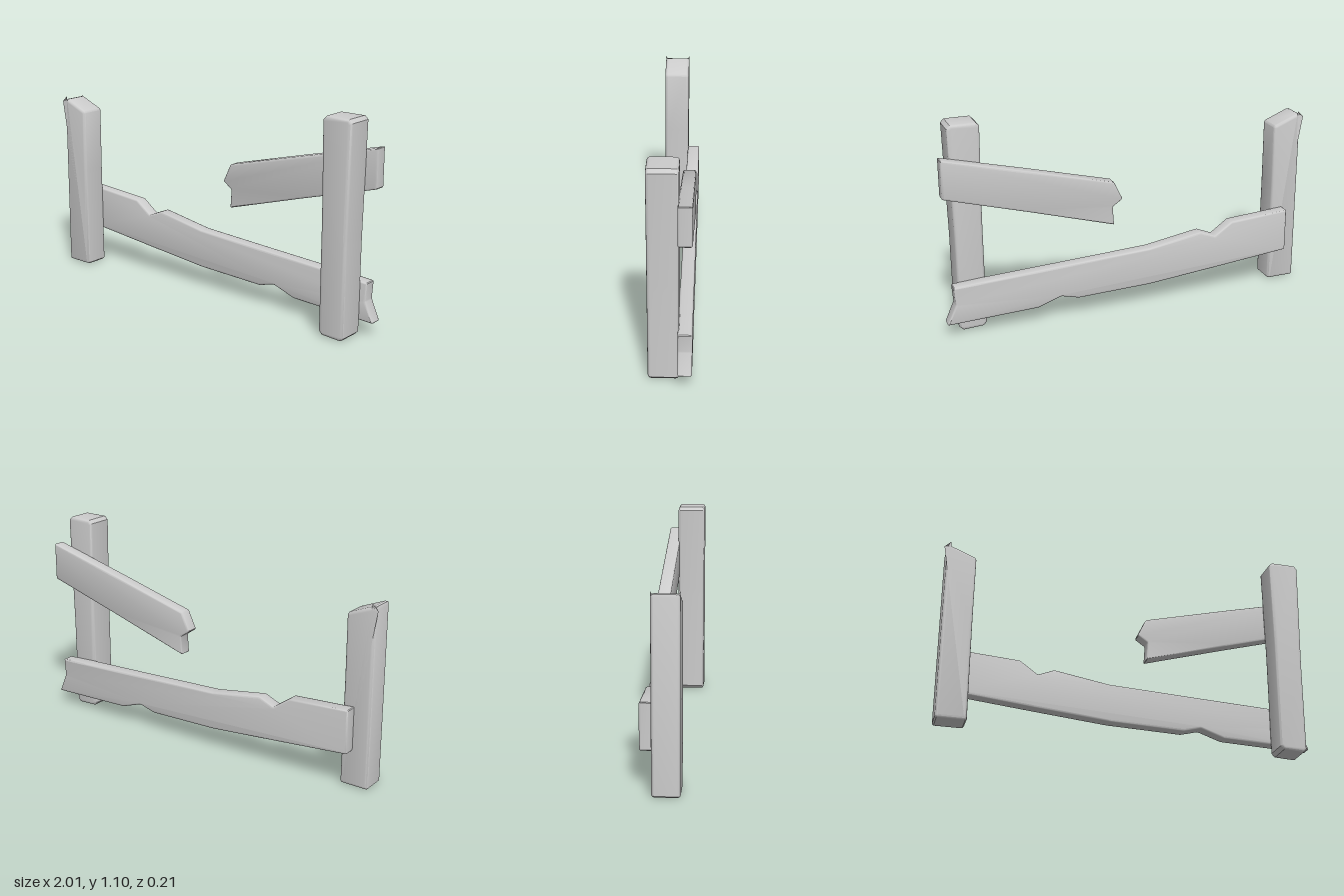
import * as THREE from 'three';
import { toCreasedNormals } from 'three/addons/utils/BufferGeometryUtils.js';

const material = new THREE.MeshStandardMaterial({ color: 0xcccccc });

// Cuts each corner of an outline by distance c
function chamfer(points, c) {
  const p = points.map(([x, y]) => new THREE.Vector2(x, y));
  return p.flatMap((v, i) => {
    const toward = (w) => v.clone().add(w.clone().sub(v).setLength(c));
    return [toward(p[(i + p.length - 1) % p.length]), toward(p[(i + 1) % p.length])];
  });
}

// Solid timber: front outline (counter-clockwise) extruded from zBack to zFront with soft edges
function timber(name, points, zBack, zFront, bevel, corner) {
  const shape = new THREE.Shape(chamfer(points, corner));
  const geometry = new THREE.ExtrudeGeometry(shape, {
    depth: zFront - zBack - 2 * bevel,
    bevelThickness: bevel, bevelSize: bevel, bevelOffset: -bevel, bevelSegments: 3,
  });
  geometry.translate(0, 0, zBack + bevel);
  const mesh = new THREE.Mesh(toCreasedNormals(geometry, 0.6), material);
  mesh.name = name;
  return mesh;
}

export function createModel() {
  const group = new THREE.Group();
  group.name = 'brokenFence';

  // Upright posts, the shorter one with a slanted top
  group.add(timber('shortPost', [
    [-1, 0.003], [-0.844, 0.003], [-0.847, 0.55], [-0.846, 0.898], [-0.99, 0.956], [-1, 0.945],
  ], -0.042, 0.095, 0.016, 0.008));
  group.add(timber('tallPost', [
    [0.78, 0.008], [0.924, 0], [0.926, 0.5], [0.938, 1.103], [0.772, 1.103], [0.78, 0.6],
  ], -0.042, 0.108, 0.016, 0.018));

  // Sagging lower rail with two notches and a splintered end
  group.add(timber('lowerRail', [
    [-0.91, 0.197], [-0.5, 0.157], [-0.1, 0.12], [0.3, 0.108], [0.395, 0.133],
    [0.52, 0.09], [0.8, 0.08], [1, 0.073], [0.953, 0.18], [0.96, 0.275],
    [0.8, 0.285], [0.4, 0.303], [-0.1, 0.327], [-0.395, 0.375], [-0.48, 0.34],
    [-0.575, 0.408], [-0.91, 0.43],
  ], -0.105, -0.036, 0.01, 0.004));

  // Fallen upper rail, snapped at its low end
  group.add(timber('upperRail', [
    [0.1, 0.492], [0.55, 0.625], [0.992, 0.752], [0.992, 0.953], [0.55, 0.843],
    [0.1, 0.727], [0.053, 0.63], [0.107, 0.592],
  ], -0.105, -0.036, 0.01, 0.004));

  return group;
}
